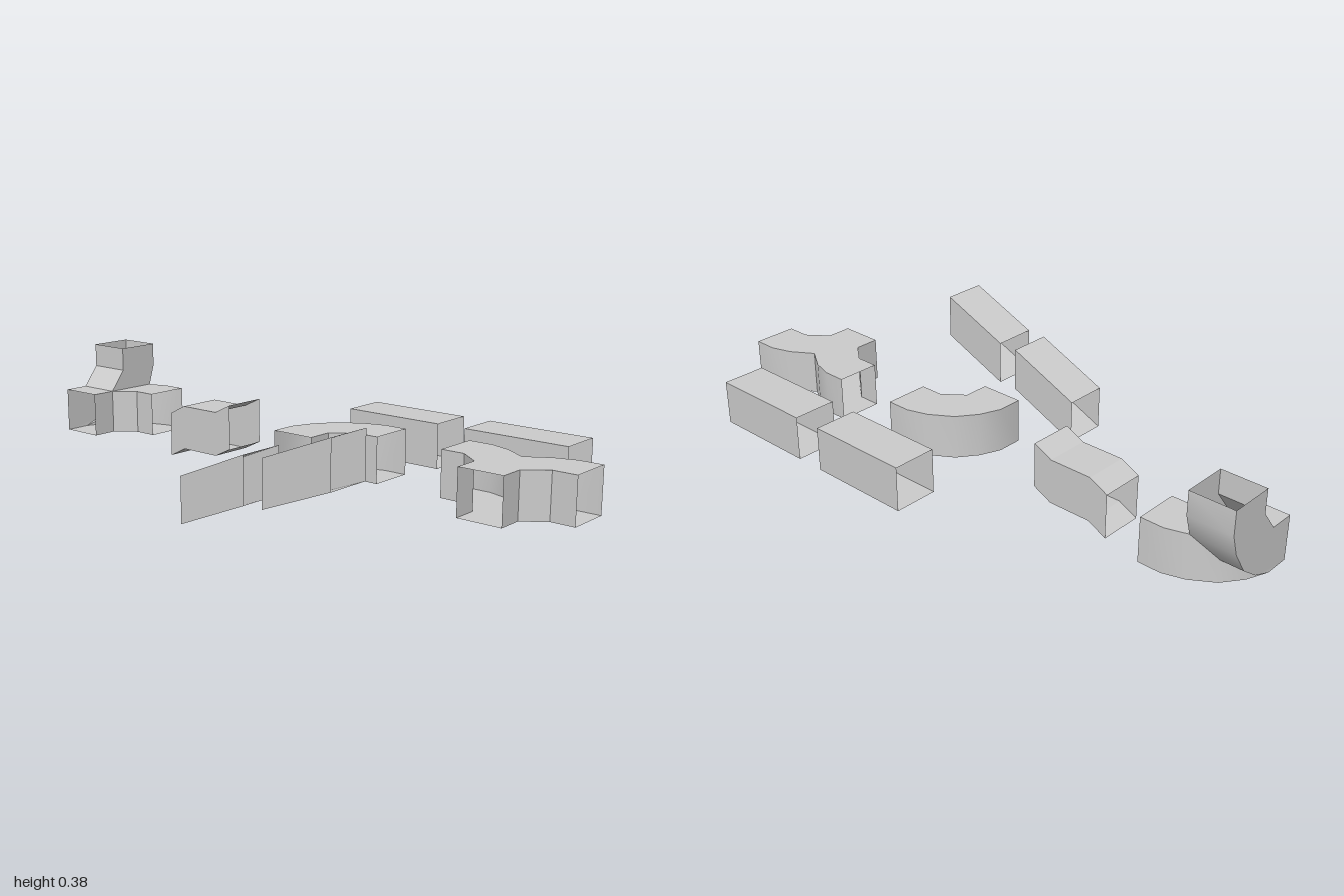
import * as THREE from 'three';
import { toCreasedNormals } from 'three/addons/utils/BufferGeometryUtils.js';

const SIZE = 0.15;   // width and height of every duct
const BASE = 0.08;   // underside height of the level ducts
const ARM = 0.3;     // reach of a bent arm

const material = new THREE.MeshStandardMaterial({ color: 0xcccccc, side: THREE.DoubleSide });
const V3 = (x, y, z) => new THREE.Vector3(x, y, z);

// A sheet is a list of triangle corners; parts are joined lists of sheets.
function strip(a, b) {
  const out = [];
  for (let i = 0; i < a.length - 1; i++) {
    out.push(a[i], b[i + 1], a[i + 1], a[i], b[i], b[i + 1]);
  }
  return out;
}

// Horizontal sheet from an [x, z] outline
function flat(outline, y, up) {
  const pts = outline.map(([x, z]) => new THREE.Vector2(x, z));
  return THREE.ShapeUtils.triangulateShape(pts, []).flatMap(face => {
    const tri = face.map(i => V3(pts[i].x, y, pts[i].y));
    return up ? tri.reverse() : tri;
  });
}

// Upright wall along an [x, z] path; its top may vary along the path
function wall(path, top = () => SIZE) {
  return strip(path.map(([x, z]) => V3(x, 0, z)), path.map(([x, z]) => V3(x, top(z), z)));
}

function part(name, corners, x = 0, y = 0, z = 0) {
  const geometry = new THREE.BufferGeometry().setFromPoints(corners);
  const mesh = new THREE.Mesh(toCreasedNormals(geometry, 0.4), material);
  mesh.name = name;
  mesh.position.set(x, y, z);
  return mesh;
}

// Open square tube through [z, x, bottom] stations, ordered front to back
function tube(name, stations) {
  const h = SIZE / 2;
  const rings = stations.map(([z, x, y]) => [
    V3(x - h, y, z), V3(x + h, y, z), V3(x + h, y + SIZE, z), V3(x - h, y + SIZE, z), V3(x - h, y, z),
  ]);
  return part(name, rings.slice(1).flatMap((ring, i) => strip(rings[i], ring)));
}

// Bend outline: stub opens to -x, arm opens to +z
const stub = [[-0.09, 0], [-0.005, 0]];
const curve = [[-0.005, 0], [0.065, 0.027], [0.13, 0.075], [0.178, SIZE], [0.2, 0.22], [0.2, ARM]];
const inner = [[0.05, ARM], [0.05, 0.22], [-0.005, SIZE], [-0.09, SIZE]];
const outer = [stub[0], ...curve];
const mirrored = path => path.map(([x, z]) => [x, SIZE - z]).reverse();

function elbow() {
  const outline = [...outer, ...inner];
  return [...flat(outline, 0, false), ...flat(outline, SIZE, true), ...wall(outer), ...wall(inner)];
}

// Two mirrored bends sharing one stub
function fork() {
  const half = curve.slice(2);
  const outside = [...mirrored(half), ...half.slice(1)];
  const innerBack = mirrored(inner);
  const outline = [...outside, ...inner, ...innerBack];
  return [...flat(outline, 0, false), ...flat(outline, SIZE, true),
    ...wall(outside), ...wall(inner), ...wall(innerBack)];
}

// One level and one upright bend sharing a stub, joined on a diagonal seam
function cornerJunction() {
  const stubTop = [...stub, ...inner.slice(2)];
  const armTop = [...curve.slice(3), ...inner.slice(0, 3)];
  const level = [
    ...flat([...outer, ...inner], 0, false),
    ...flat(stubTop, SIZE, true),
    ...flat(armTop, SIZE, true),
    ...wall(curve, z => Math.min(z, SIZE)),
    ...wall(inner),
  ];
  // Swapping y and z turns the level half into the upright half
  const upright = level.map(p => V3(p.x, p.z, p.y)).reverse();
  return [...level, ...upright];
}

export function createModel() {
  const group = new THREE.Group();
  group.name = 'ductSet';
  group.add(
    // Straight ducts
    tube('straightDuctFront', [[0.82, 0.4, BASE], [0.45, 0.4, BASE]]),
    tube('straightDuctBack', [[0.35, 0.4, BASE], [-0.01, 0.4, BASE]]),
    // Sloping ducts
    tube('slopedDuctHigh', [[0.56, -0.404, 0.212], [0.305, -0.395, 0.112]]),
    tube('slopedDuctLow', [[0.235, -0.394, 0.11], [-0.03, -0.387, 0]]),
    // Duct with both ends stepped
    tube('offsetDuct', [[-0.25, 0.055, 0.112], [-0.315, 0.055, BASE],
      [-0.465, 0.055, BASE], [-0.53, 0.055, 0.047]]),
    // Bends and junctions
    part('elbowDuct', elbow(), 0, BASE, 0.013),
    part('forkDuct', fork(), 0, BASE, 0.7),
    part('cornerJunctionDuct', cornerJunction(), 0, BASE, -1),
  );
  return group;
}
